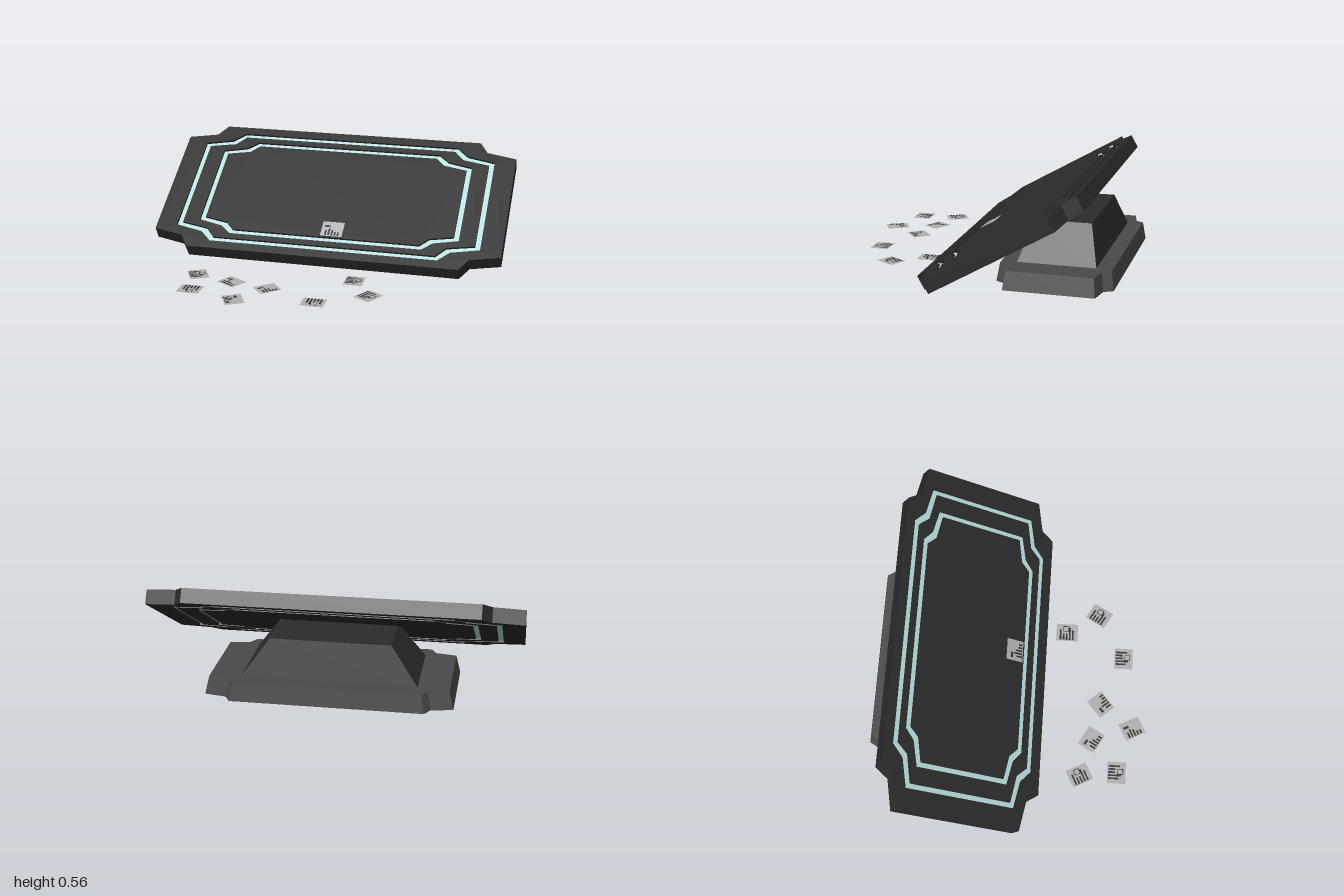
import * as THREE from 'three';
import { mergeGeometries } from 'three/addons/utils/BufferGeometryUtils.js';

const mat = (color, side = THREE.FrontSide) =>
  new THREE.MeshStandardMaterial({ color, side, flatShading: true });
const DARK = mat(0x2b2b2b), STONE = mat(0x4a4a4a), GLOW = mat(0xb8dedd);
const PAPER = mat(0xb0b0b0, THREE.DoubleSide), INK = mat(0x333333, THREE.DoubleSide);

function add(parent, name, geometry, material) {
  const mesh = new THREE.Mesh(geometry, material);
  mesh.name = name;
  parent.add(mesh);
  return mesh;
}

// Mirrors one corner (side point to end point) into all four quadrants.
function outline(corner) {
  const back = [...corner].reverse();
  return [
    ...corner,
    ...back.map(([x, y]) => [-x, y]),
    ...corner.map(([x, y]) => [-x, -y]),
    ...back.map(([x, y]) => [x, -y]),
  ].map(([x, y]) => new THREE.Vector2(x, y));
}

// Slab centred on z = 0, with an optional hole of the same family.
function slab(corner, hole, depth) {
  const shape = new THREE.Shape(outline(corner));
  if (hole) shape.holes.push(new THREE.Path(outline(hole)));
  return new THREE.ExtrudeGeometry(shape, { depth, bevelEnabled: false }).translate(0, 0, -depth / 2);
}

// Upright slab whose upper outline is scaled inwards.
function taperedBlock(corner, height, sx, sz) {
  const g = slab(corner, null, height);
  const p = g.attributes.position;
  for (let i = 0; i < p.count; i++) {
    if (p.getZ(i) > 0) p.setXY(i, p.getX(i) * sx, p.getY(i) * sz);
  }
  g.computeVertexNormals();
  return g.rotateX(-Math.PI / 2).translate(0, height / 2, 0);
}

// Flat card lying in the xz plane, its top edge towards -z.
function card(name, withSquare) {
  const g = new THREE.Group();
  g.name = name;
  const patch = (w, h, x, z, y) => new THREE.PlaneGeometry(w, h).rotateX(-Math.PI / 2).translate(x, y, z);
  add(g, 'cardSheet', patch(0.125, 0.105, 0, 0, 0), PAPER);
  const lengths = withSquare ? [0.06, 0.075, 0.04, 0.04, 0.065] : [0.035, 0.05, 0.04, 0.025, 0.025];
  const marks = lengths.map((l, i) => {
    const z = withSquare ? -0.047 + l / 2 : 0.047 - l / 2;
    return patch(0.01, l, -0.034 + i * 0.018, z, 0.0015);
  });
  if (withSquare) {
    for (const s of [-1, 1]) {
      marks.push(patch(0.034, 0.004, 0.006, 0.022 + s * 0.015, 0.0015));
      marks.push(patch(0.004, 0.034, 0.006 + s * 0.015, 0.022, 0.0015));
    }
  } else {
    marks.push(patch(0.032, 0.014, -0.03, -0.018, 0.0015));
  }
  add(g, 'cardMarks', mergeGeometries(marks), INK);
  return g;
}

export function createModel() {
  const model = new THREE.Group();
  model.name = 'tiltedDisplayTable';

  // Stepped foot and the pedestal on it
  const foot = add(model, 'foot',
    taperedBlock([[0.655, 0.245], [0.54, 0.265], [0.51, 0.315]], 0.1, 0.965, 0.95), STONE);
  foot.position.set(0, 0, -0.475);
  const pedestal = add(model, 'pedestal', taperedBlock([[0.465, 0.213]], 0.2, 0.69, 0.73), DARK);
  pedestal.position.set(0, 0.1, -0.475);

  // Tilted board: nested frames with recessed glowing bands between them
  const board = new THREE.Group();
  board.name = 'board';
  board.position.set(0, 0.285, -0.247);
  board.rotation.x = -Math.PI / 3;
  model.add(board);
  const inset = ([a, b, c]) => [
    [a[0] - 0.03, a[1] - 0.025], [b[0] - 0.025, b[1] - 0.03], [c[0] - 0.015, c[1] - 0.03],
  ];
  const rim = [[1, 0.37], [0.83, 0.405], [0.78, 0.48]];
  const outer = [[0.88, 0.33], [0.72, 0.365], [0.655, 0.427]];
  const inner = [[0.755, 0.278], [0.615, 0.31], [0.556, 0.361]];
  add(board, 'outerFrame', slab(rim, outer, 0.08), DARK);
  add(board, 'outerBand', slab(outer, inset(outer), 0.056), GLOW);
  add(board, 'middleFrame', slab(inset(outer), inner, 0.08), DARK);
  add(board, 'innerBand', slab(inner, inset(inner), 0.056), GLOW);
  add(board, 'centrePanel', slab(inset(inner), null, 0.08), DARK);

  // One card on the board
  const boardCard = card('boardCard', false);
  boardCard.position.set(0.035, -0.27, 0.042);
  boardCard.rotation.x = Math.PI / 2;
  board.add(boardCard);

  // Loose cards: x, z, turn in degrees, square mark
  const loose = [
    [-0.63, 0.415, 118, true], [-0.417, 0.475, -30, false], [-0.203, 0.52, 40, false],
    [-0.604, 0.625, 0, true], [-0.337, 0.705, -62, false], [0.23, 0.305, 90, true],
    [0.348, 0.492, 60, true], [0.085, 0.643, 0, true],
  ];
  loose.forEach(([x, z, turn, square], i) => {
    const c = card('looseCard' + (i + 1), square);
    c.position.set(x, 0.008, z);
    c.rotation.y = THREE.MathUtils.degToRad(turn);
    model.add(c);
  });
  return model;
}
